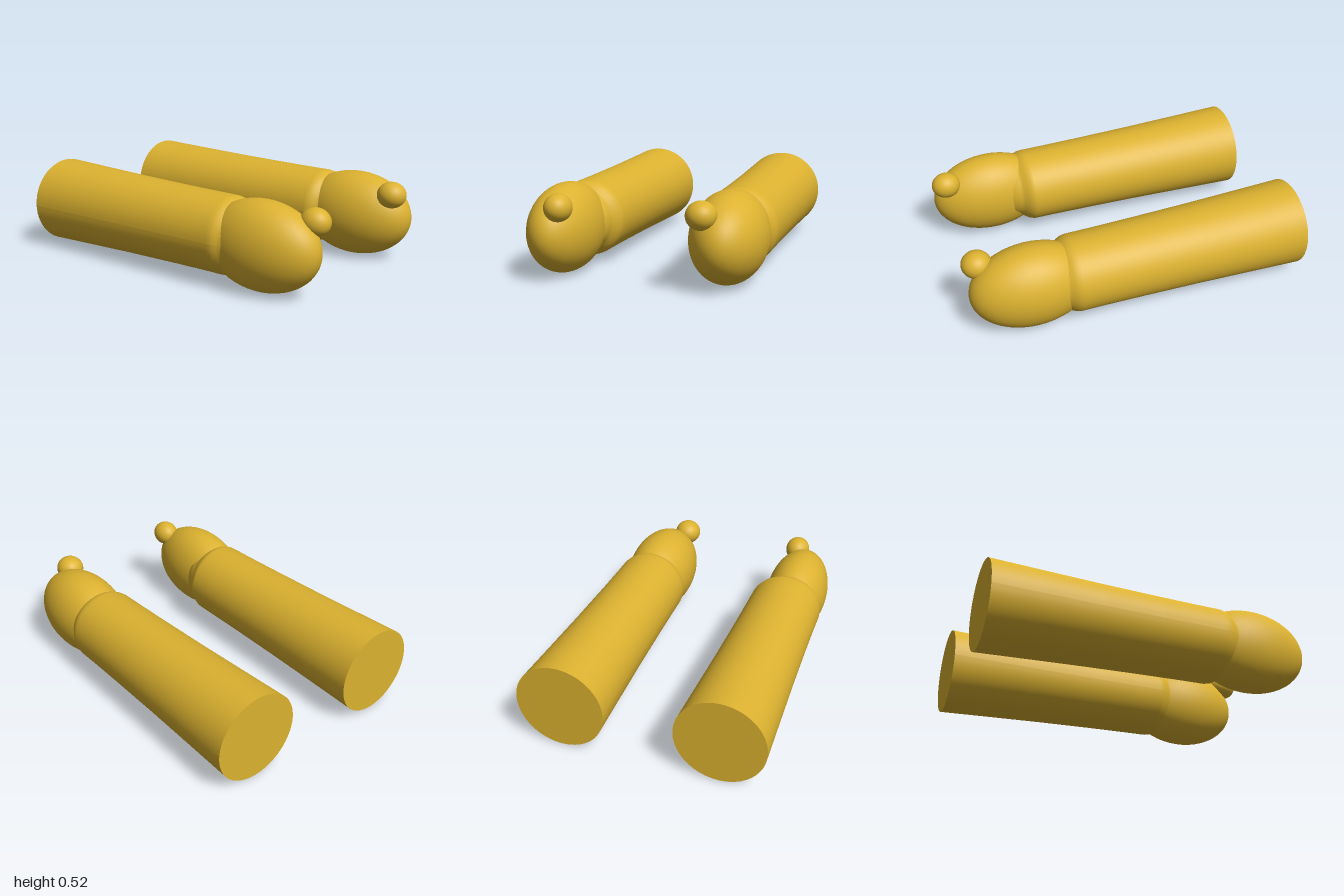
import * as THREE from 'three';

const gold = new THREE.MeshStandardMaterial({ color: 0xdcb230 });
gold.name = 'gold';

function add(group, name, geometry, x = 0, y = 0, z = 0) {
  const mesh = new THREE.Mesh(geometry, gold);
  mesh.name = name;
  mesh.position.set(x, y, z);
  group.add(mesh);
  return mesh;
}

// Tapered sleeve along x, rolling over into a narrow wrist at its far end
const sleeveProfile = [
  [0.26, -1], [0.25, -0.7], [0.239, -0.35], [0.231, 0], [0.227, 0.25], [0.226, 0.38],
  [0.222, 0.405], [0.212, 0.427], [0.198, 0.447], [0.188, 0.465], [0.18, 0.51], [0.12, 0.58],
].map(([r, x]) => new THREE.Vector2(r, x));

function makeArm(name, z, hand, thumb) {
  const arm = new THREE.Group();
  arm.name = name;

  const sleeve = new THREE.LatheGeometry(sleeveProfile, 64).rotateZ(-Math.PI / 2);
  // The wrist drifts sideways to meet the hand
  const p = sleeve.attributes.position;
  for (let i = 0; i < p.count; i++) {
    const t = THREE.MathUtils.smoothstep(p.getX(i), 0.37, 0.47);
    p.setZ(i, p.getZ(i) + t * (hand.z - z) * 0.6);
  }
  sleeve.computeVertexNormals();
  add(arm, 'sleeve', sleeve, 0, 0.272, z);

  // Flat closed end
  add(arm, 'sleeveEnd', new THREE.CircleGeometry(0.26, 64).rotateY(-Math.PI / 2), -1, 0.272, z);

  // Egg-shaped mitten hand with a ball thumb
  const ball = new THREE.SphereGeometry(1, 48, 32);
  add(arm, 'hand', ball, 0.623, 0.264, hand.z).scale.set(0.363, 0.256, hand.width);
  add(arm, 'thumb', ball, 0.91, 0.427, thumb.z).scale.set(0.087, 0.078, thumb.width);
  return arm;
}

export function createModel() {
  const model = new THREE.Group();
  model.name = 'armPair';
  model.add(
    makeArm('frontArm', 0.46, { z: 0.488, width: 0.193 }, { z: 0.415, width: 0.077 }),
    makeArm('backArm', -0.46, { z: -0.463, width: 0.213 }, { z: -0.378, width: 0.084 }),
  );
  return model;
}
